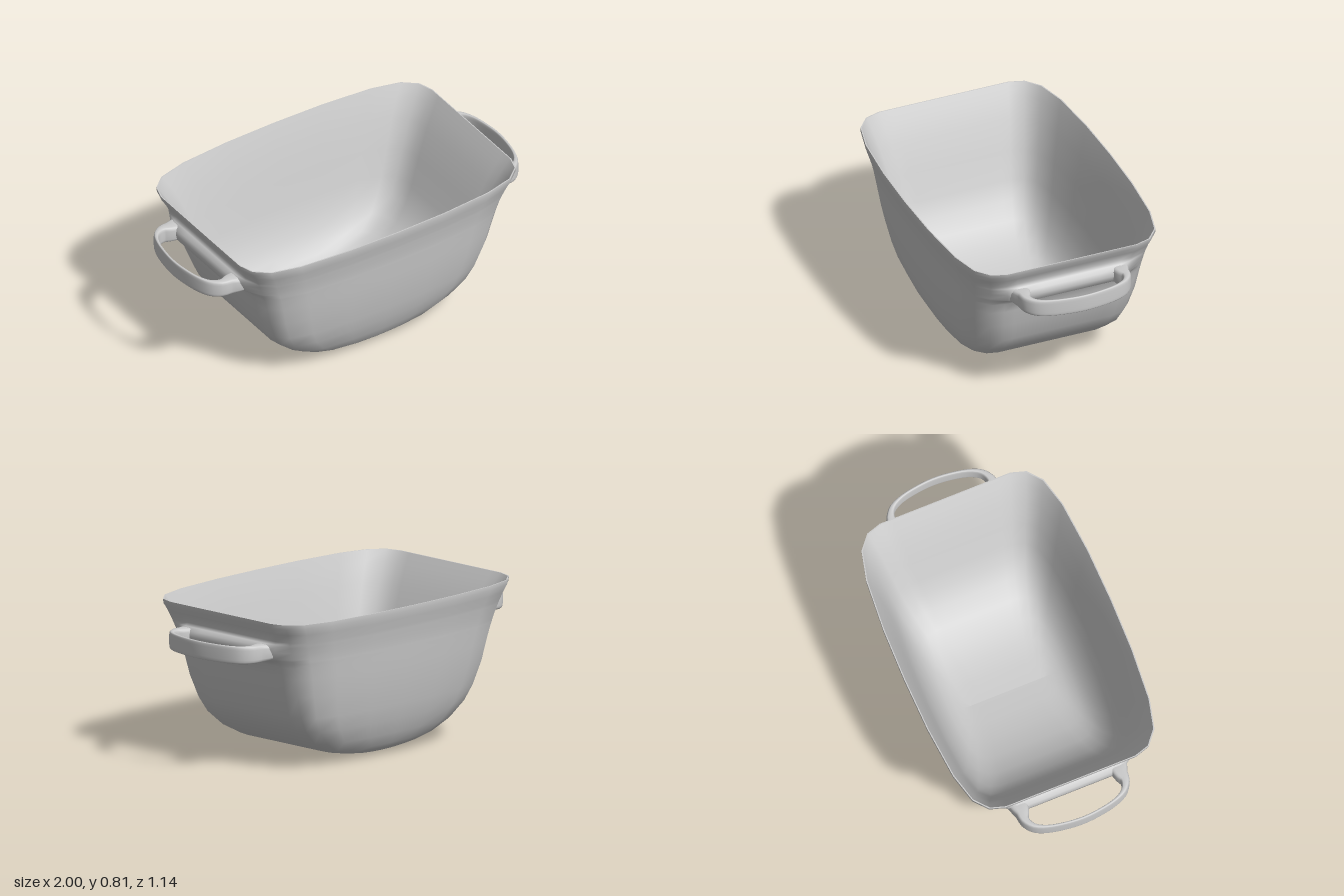
import * as THREE from 'three';

const material = new THREE.MeshStandardMaterial({ color: 0xcccccc, side: THREE.DoubleSide });

// Skin a list of closed rings (arrays of [x, y, z]) with smooth normals
function loft(rings) {
  const n = rings[0].length;
  const index = [];
  for (let i = 0; i < rings.length - 1; i++) {
    for (let j = 0; j < n; j++) {
      const a = i * n + j, b = i * n + (j + 1) % n;
      index.push(a, a + n, b, b, a + n, b + n);
    }
  }
  const geometry = new THREE.BufferGeometry();
  geometry.setAttribute('position', new THREE.Float32BufferAttribute(rings.flat(2), 3));
  geometry.setIndex(index);
  geometry.computeVertexNormals();
  return geometry;
}

// Unit plan outline: straight ends, rounded corners, gently bowed front and back
const quarter = [[1, 0], [1, 0.3], [1, 0.52], [1, 0.63], [0.97, 0.77], [0.88, 0.88], [0.69, 0.95], [0.35, 0.99], [0, 1]];
const half = [...quarter, ...quarter.slice(0, -1).reverse().map(([x, z]) => [-x, z])];
const outline = [...half, ...half.slice(1, -1).reverse().map(([x, z]) => [x, -z])];

// Outside: height, half width, half depth, swelling of the end walls into a ledge behind the handles
const outside = [
  [0, 0, 0.265], [0.006, 0.1, 0.3], [0.013, 0.17, 0.325], [0.022, 0.22, 0.348],
  [0.04, 0.32, 0.373], [0.062, 0.39, 0.395], [0.12, 0.5, 0.427], [0.2, 0.59, 0.457],
  [0.28, 0.64, 0.478], [0.4, 0.685, 0.503], [0.5, 0.71, 0.517], [0.56, 0.727, 0.525],
  [0.585, 0.736, 0.528, 0.02], [0.598, 0.741, 0.53, 0.05], [0.61, 0.745, 0.531, 0.072],
  [0.645, 0.758, 0.537, 0.067], [0.675, 0.771, 0.543, 0.049], [0.69, 0.778, 0.546, 0.02],
  [0.705, 0.784, 0.549], [0.75, 0.805, 0.561], [0.785, 0.827, 0.57], [0.808, 0.831, 0.57],
];

// Inside: thick at the floor, tapering to a thin rim
const inside = [
  [0.808, 0.826, 0.564], [0.75, 0.79, 0.545], [0.65, 0.735, 0.516], [0.5, 0.672, 0.48],
  [0.36, 0.618, 0.449], [0.27, 0.572, 0.424], [0.19, 0.505, 0.392], [0.13, 0.415, 0.357],
  [0.09, 0.315, 0.322], [0.065, 0.21, 0.283], [0.052, 0.11, 0.245], [0.046, 0, 0.21],
];

function createBowl() {
  const ring = ([y, w, d, swell = 0]) => outline.map(([x, z]) => {
    const reach = Math.abs(z) < 0.6 ? 1 : Math.abs(z) < 0.7 ? 0.35 : 0;
    return [x * (w + swell * reach), y, z * d];
  });
  const outer = outside.map(ring);
  const inner = inside.map(ring);
  // Rim rings are doubled to keep its edges crisp
  const bowl = new THREE.Mesh(loft([...outer, outer.at(-1), inner[0], ...inner]), material);
  bowl.name = 'bowl';
  return bowl;
}

// Strap handle: x, z, half height, half thickness
const strapHalf = [
  [0.77, 0.275, 0.04, 0.055], [0.8, 0.273, 0.043, 0.048], [0.835, 0.272, 0.045, 0.038],
  [0.885, 0.276, 0.046, 0.023], [0.935, 0.245, 0.046, 0.014], [0.967, 0.18, 0.046, 0.009],
  [0.985, 0.09, 0.046, 0.008],
];

function createHandle() {
  const mirrored = strapHalf.map(([x, z, ...size]) => [x, -z, ...size]).reverse();
  const stations = [...strapHalf, [0.992, 0, 0.046, 0.008], ...mirrored];
  const curve = (place) => new THREE.CatmullRomCurve3(stations.map(place), false, 'catmullrom');
  const path = curve(([x, z]) => new THREE.Vector3(x, 0.643, z));
  const sizes = curve(([, , h, t]) => new THREE.Vector3(t, h, 0));
  const steps = 42, sides = 20;
  const soften = (v) => Math.sign(v) * Math.abs(v) ** 0.5;
  const rings = [];
  for (let i = 0; i <= steps; i++) {
    const p = path.getPoint(i / steps), t = path.getTangent(i / steps), s = sizes.getPoint(i / steps);
    const ring = [];
    for (let j = 0; j < sides; j++) {
      const a = (j / sides) * Math.PI * 2;
      const across = soften(Math.cos(a)) * s.x, up = soften(Math.sin(a)) * s.y;
      ring.push([p.x - t.z * across, p.y + up, p.z + t.x * across]);
    }
    rings.push(ring);
  }
  return new THREE.Mesh(loft(rings), material);
}

export function createModel() {
  const model = new THREE.Group();
  model.name = 'basin';
  model.add(createBowl());
  const left = createHandle();
  left.name = 'leftHandle';
  const right = left.clone();
  right.name = 'rightHandle';
  right.rotation.y = Math.PI;
  model.add(left, right);
  return model;
}
